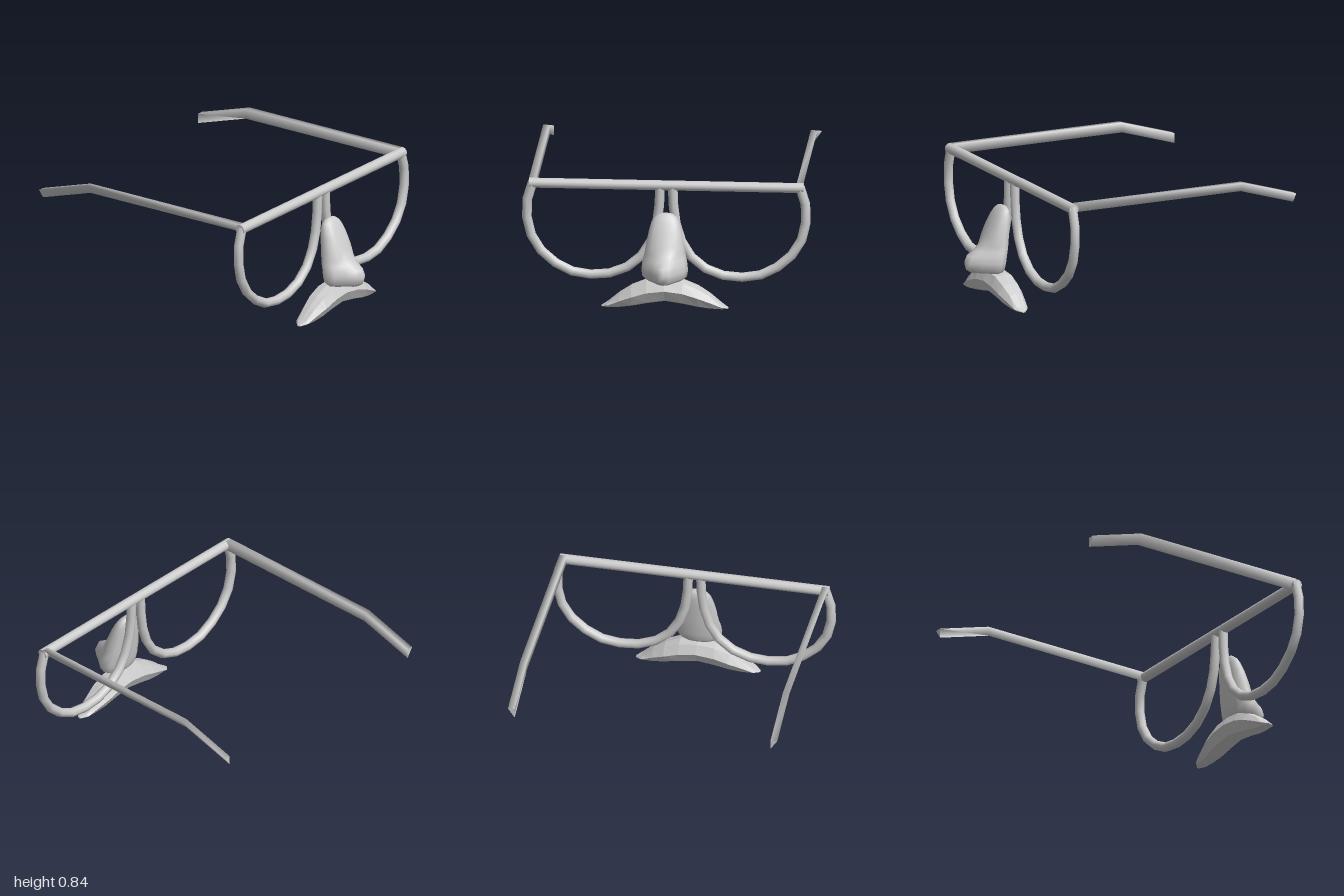
import * as THREE from 'three';

const material = new THREE.MeshStandardMaterial({ color: 0xcccccc, side: THREE.DoubleSide });

// Skin a list of equal-length point rings and close both ends.
function loft(rings, flat = false) {
  const n = rings[0].length;
  const pos = rings.flat(2);
  const index = [];
  for (let r = 0; r < rings.length - 1; r++) {
    for (let i = 0; i < n; i++) {
      const a = r * n + i, b = r * n + (i + 1) % n;
      index.push(a, b, b + n, a, b + n, a + n);
    }
  }
  [rings[0], rings[rings.length - 1]].forEach((ring, end) => {
    const start = pos.length / 3;
    ring.forEach(p => pos.push(...p));
    for (let k = 0; k < 3; k++) pos.push(ring.reduce((sum, p) => sum + p[k], 0) / n);
    for (let i = 0; i < n; i++) {
      const a = start + i, b = start + (i + 1) % n;
      index.push(...(end ? [a, b, start + n] : [b, a, start + n]));
    }
  });
  let geometry = new THREE.BufferGeometry();
  geometry.setAttribute('position', new THREE.Float32BufferAttribute(pos, 3));
  geometry.setIndex(index);
  if (flat) geometry = geometry.toNonIndexed();
  geometry.computeVertexNormals();
  return geometry;
}

// Lens rim: a coarse tube hanging from the brow bar.
function rimGeometry(side) {
  const path = [
    [0.885, 0.82], [0.925, 0.68], [0.918, 0.53], [0.868, 0.395], [0.765, 0.285],
    [0.635, 0.21], [0.49, 0.188], [0.345, 0.207], [0.22, 0.27], [0.13, 0.37],
    [0.075, 0.5], [0.05, 0.64], [0.042, 0.8],
  ].map(([z, y]) => new THREE.Vector3(0.648, y, side * z));
  return new THREE.TubeGeometry(new THREE.CatmullRomCurve3(path), 14, 0.032, 8);
}

// Temple arm: three-cornered section, bent down towards the ear.
function templeGeometry(side) {
  const section = [[0.865, -0.033], [0.91, 0.033], [0.865, 0.033]];
  if (side < 0) section.reverse();
  const path = [[0.64, 0.811], [-0.61, 0.811], [-1, 0.693]];
  return loft(path.map(([x, y]) => section.map(([z, dy]) => [x, y + dy, side * z])));
}

// Nose: horizontal slices, round at the bridge and pointed at the tip.
function noseGeometry() {
  // y, back x, front x, half width, pointedness
  const slices = [
    [0.203, 0.76, 0.91, 0.085, 0.8], [0.207, 0.742, 0.955, 0.12, 1],
    [0.23, 0.728, 0.988, 0.148, 1], [0.275, 0.718, 1, 0.155, 1],
    [0.32, 0.712, 0.98, 0.15, 1], [0.35, 0.708, 0.925, 0.143, 0.8],
    [0.385, 0.704, 0.882, 0.135, 0.4], [0.44, 0.698, 0.853, 0.126, 0.15],
    [0.52, 0.689, 0.815, 0.11, 0], [0.58, 0.685, 0.785, 0.094, 0],
    [0.615, 0.689, 0.762, 0.075, 0], [0.635, 0.7, 0.742, 0.048, 0],
    [0.641, 0.713, 0.729, 0.02, 0],
  ];
  // Depth and width along one side, as [round, pointed]
  const depth = [[0, 0], [0.03, 0.03], [0.18, 0.14], [0.45, 0.3], [0.72, 0.48], [0.9, 0.7], [0.98, 0.92], [1, 1]];
  const width = [[0, 0], [0.5, 0.5], [0.87, 0.85], [1, 1], [0.92, 0.86], [0.68, 0.54], [0.35, 0.27], [0, 0]];
  const last = depth.length - 1;
  return loft(slices.map(([y, back, front, half, k]) => {
    const ring = [];
    for (let i = 0; i < last * 2; i++) {
      const j = i <= last ? i : last * 2 - i;
      const d = THREE.MathUtils.lerp(...depth[j], k);
      const w = THREE.MathUtils.lerp(...width[j], k);
      ring.push([back + (front - back) * d, y, (i <= last ? 1 : -1) * half * w]);
    }
    return ring;
  }));
}

// Moustache: faceted eight-sided sections tapering to drooping ends.
function moustacheGeometry() {
  // z, bottom y, top y, half depth
  const half = [[0, 0.05, 0.212, 0.09], [0.12, 0.032, 0.2, 0.09], [0.22, 0.013, 0.158, 0.086],
    [0.3, 0.003, 0.106, 0.068], [0.38, 0.004, 0.038, 0.048], [0.42, 0.006, 0.014, 0.012]];
  const sections = [...half.slice(1).reverse().map(([z, ...rest]) => [-z, ...rest]), ...half];
  const outline = [[0, 0], [0.6, 0.12], [1, 0.55], [0.65, 0.93], [0, 1], [-0.65, 0.93], [-1, 0.55], [-0.6, 0.12]];
  return loft(sections.map(([z, low, high, d]) =>
    outline.map(([u, v]) => [0.77 + u * d, low + v * (high - low), z])), true);
}

export function createModel() {
  const model = new THREE.Group();
  const add = (name, geometry) => {
    const mesh = new THREE.Mesh(geometry, material);
    mesh.name = name;
    model.add(mesh);
  };

  // Straight brow bar across the front
  add('browBar', new THREE.CylinderGeometry(0.034, 0.034, 1.82, 12).rotateX(Math.PI / 2).translate(0.648, 0.81, 0));

  for (const [label, side] of [['near', 1], ['far', -1]]) {
    add(`${label}Rim`, rimGeometry(side));
    add(`${label}Temple`, templeGeometry(side));
  }

  add('nose', noseGeometry());
  const moustache = moustacheGeometry();
  add('moustache', moustache);
  return model;
}
